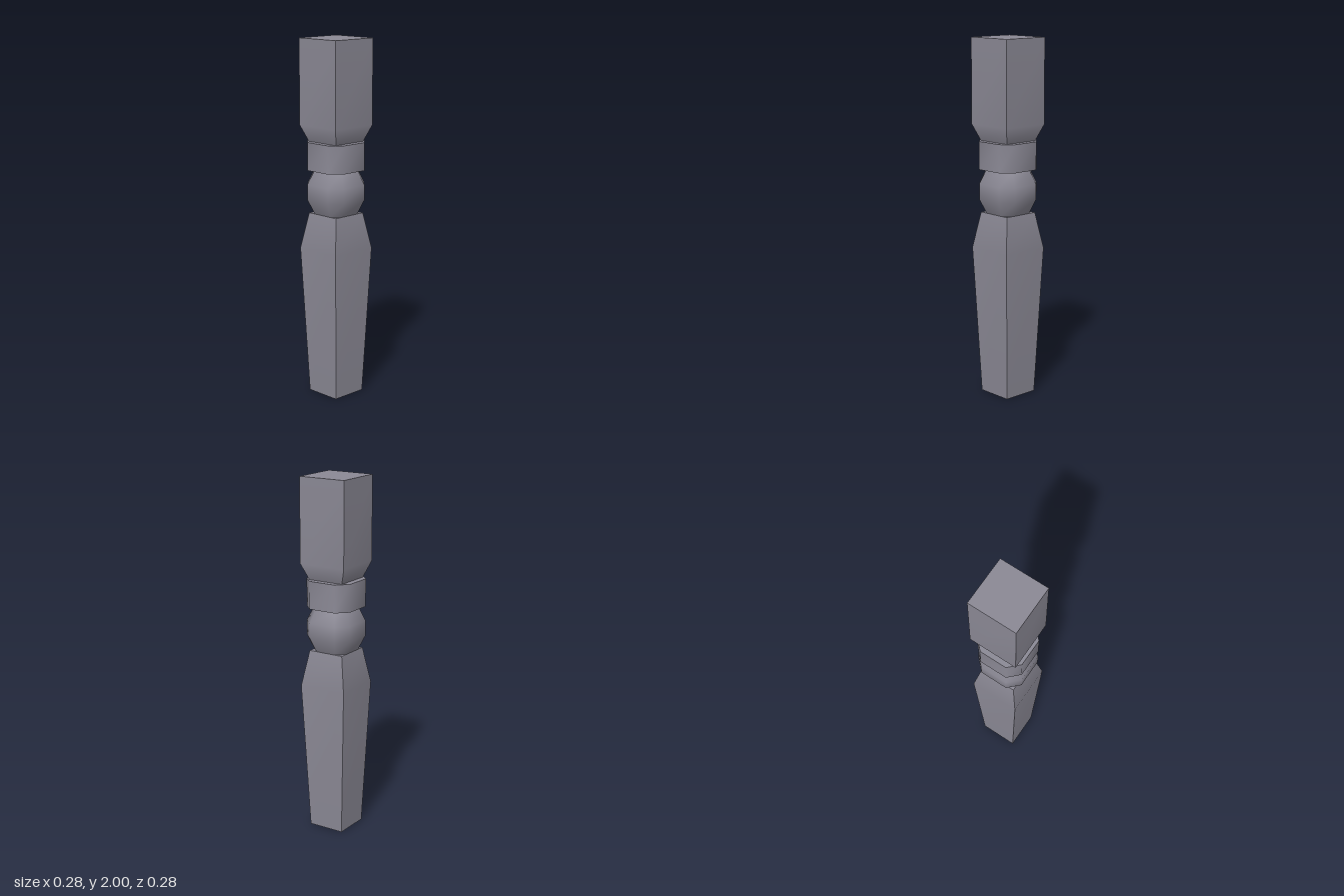
import * as THREE from 'three';
import { mergeGeometries } from 'three/addons/utils/BufferGeometryUtils.js';

// Outlines of half-width 1, counter-clockwise seen from above
const SQUARE = [[1, 1], [1, -1], [-1, -1], [-1, 1]];
const C = 0.57;
const OCTAGON = [[C, 1], [1, C], [1, -C], [C, -1], [-C, -1], [-1, -C], [-1, C], [-C, 1]];

// Strip of wall through the profile [halfWidth, y], over the given outline points
function wall(points, profile, closed) {
  const n = points.length, pos = [], index = [];
  for (const [w, y] of profile) for (const [x, z] of points) pos.push(x * w, y, z * w);
  for (let r = 0; r < profile.length - 1; r++) {
    for (let i = 0; i < (closed ? n : n - 1); i++) {
      const a = r * n + i, b = r * n + (i + 1) % n;
      index.push(a, b, b + n, a, b + n, a + n);
    }
  }
  const g = new THREE.BufferGeometry();
  g.setAttribute('position', new THREE.Float32BufferAttribute(pos, 3));
  g.setIndex(index);
  g.computeVertexNormals();
  return g;
}

// Flat end face, facing up or down
function cap(points, [w, y], up) {
  const pos = [], index = [];
  for (const [x, z] of points) pos.push(x * w, y, z * w);
  for (let i = 1; i < points.length - 1; i++) index.push(...(up ? [0, i, i + 1] : [0, i + 1, i]));
  const g = new THREE.BufferGeometry();
  g.setAttribute('position', new THREE.Float32BufferAttribute(pos, 3));
  g.setIndex(index);
  g.computeVertexNormals();
  return g;
}

// Solid through a bottom-to-top profile; round solids share normals around the outline
function solid(name, outline, profile, round, material) {
  // outlines run clockwise in (x, z) from above, so reverse for outward faces
  const pts = [...outline].reverse();
  const ring = outwardOrder(pts);
  const walls = round
    ? [wall(ring, profile, true)]
    : ring.map((p, i) => wall([p, ring[(i + 1) % ring.length]], profile, false));
  const g = mergeGeometries([
    ...walls,
    cap(ring, profile[0], false),
    cap(ring, profile[profile.length - 1], true),
  ]);
  const mesh = new THREE.Mesh(g, material);
  mesh.name = name;
  return mesh;
}

// Order points so that they turn from +z towards +x
function outwardOrder(points) {
  return [...points].sort((a, b) => Math.atan2(a[0], a[1]) - Math.atan2(b[0], b[1]));
}

export function createModel() {
  const group = new THREE.Group();
  group.name = 'turnedLeg';
  const stone = new THREE.MeshStandardMaterial({ color: 0x8b8995 });
  stone.name = 'warm grey';

  group.add(
    // tapered square foot
    solid('lowerLeg', SQUARE, [[0.105, 0], [0.14, 0.84], [0.105, 1.04]], false, stone),
    // rounded bead
    solid('bead', OCTAGON, [[0.105, 1.04], [0.14, 1.12], [0.14, 1.205], [0.105, 1.285]], true, stone),
    // collar band
    solid('collar', OCTAGON, [[0.14, 1.285], [0.14, 1.44]], true, stone),
    // square top block with a chamfered lower end
    solid('topBlock', SQUARE, [[0.105, 1.44], [0.14, 1.53], [0.14, 2]], false, stone),
  );
  return group;
}
